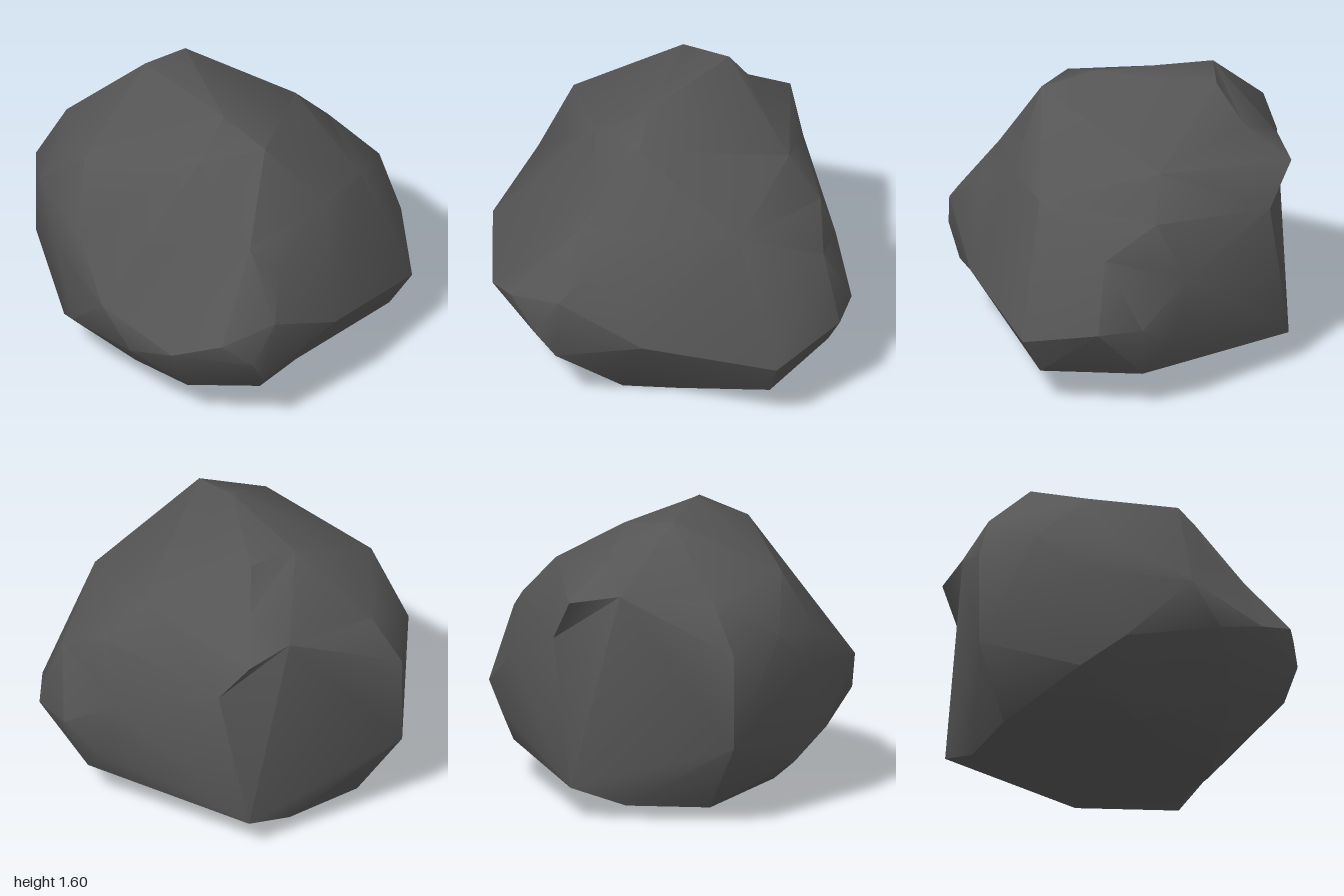
import * as THREE from 'three';
import { ConvexGeometry } from 'three/addons/geometries/ConvexGeometry.js';
import { mergeVertices, toCreasedNormals } from 'three/addons/utils/BufferGeometryUtils.js';

// Corner points of the boulder, x y z
const CORNERS = [
  // crown
  [-0.32, 1.6, -0.48], [-0.06, 1.585, -0.54], [-0.12, 1.59, 0.13], [0, 1.53, 0.41], [-0.35, 1.48, 0.32],
  [-0.02, 1.38, -0.69], [-0.82, 1.32, -0.16], [-0.69, 1.25, -0.7],
  // ridge falling to the +x side
  [0.6, 1.13, 0.33], [0.88, 0.92, -0.07], [0.49, 1.28, -0.31], [0.69, 1.07, -0.32],
  [1, 0.53, -0.05], [0.92, 0.54, -0.28], [0.88, 0.41, 0.38],
  // front ledge and nose
  [0.3, 1.15, 0.52], [-0.25, 1.25, 0.48], [-0.2, 1.1, 0.67], [-0.06, 0.94, 0.74], [-0.17, 0.76, 0.94],
  [-0.48, 0.69, 0.93], [-0.71, 0.6, 0.78], [-0.31, 0.54, 0.965], [-0.22, 0.37, 0.89], [0.26, 0.53, 0.76],
  // -x side
  [-0.96, 1.04, -0.44], [-1, 0.82, -0.15], [-0.93, 0.98, 0.02], [-0.96, 0.76, 0.41],
  [-0.98, 0.43, 0.05], [-0.92, 0.28, -0.2], [-0.86, 0.53, 0.56],
  // back
  [0.05, 1.21, -0.965], [-0.2, 1.25, -0.85], [0.2, 0.98, -0.87], [0.67, 0.75, -0.49],
  [0.05, 0.18, -0.95], [-0.85, 0.97, -0.75], [-0.85, 0.46, -0.75], [0.76, 0.4, -0.42],
  // underside
  [-0.06, 0.005, 0.48], [0.21, 0.02, 0.35], [0.78, 0.2, 0.3], [0.78, 0.22, -0.26], [-0.63, 0.09, 0.1],
  [0, 0.1, 0], [-0.63, 0.08, -0.62], [-0.21, 0.08, -0.8], [-0.55, 0.25, 0.62],
];

// Join the corners as seen from the middle, so shallow hollows survive
function createBoulderGeometry() {
  const middle = new THREE.Vector3(0, 0.78, 0);
  const corners = CORNERS.map((c) => new THREE.Vector3(...c));
  const directions = corners.map((c) => c.clone().sub(middle).normalize());
  const geometry = new ConvexGeometry(directions);
  const position = geometry.attributes.position;
  const v = new THREE.Vector3();
  for (let i = 0; i < position.count; i++) {
    v.fromBufferAttribute(position, i);
    let best = 0;
    directions.forEach((d, j) => {
      if (d.distanceToSquared(v) < directions[best].distanceToSquared(v)) best = j;
    });
    position.setXYZ(i, ...corners[best].toArray());
  }
  geometry.deleteAttribute('normal');
  return toCreasedNormals(mergeVertices(geometry), 0.75);
}

export function createModel() {
  const group = new THREE.Group();
  group.name = 'rock';
  const stone = new THREE.MeshStandardMaterial({ color: 0x555555 });
  stone.name = 'dark grey stone';
  const boulder = new THREE.Mesh(createBoulderGeometry(), stone);
  boulder.name = 'boulder';
  group.add(boulder);
  return group;
}
